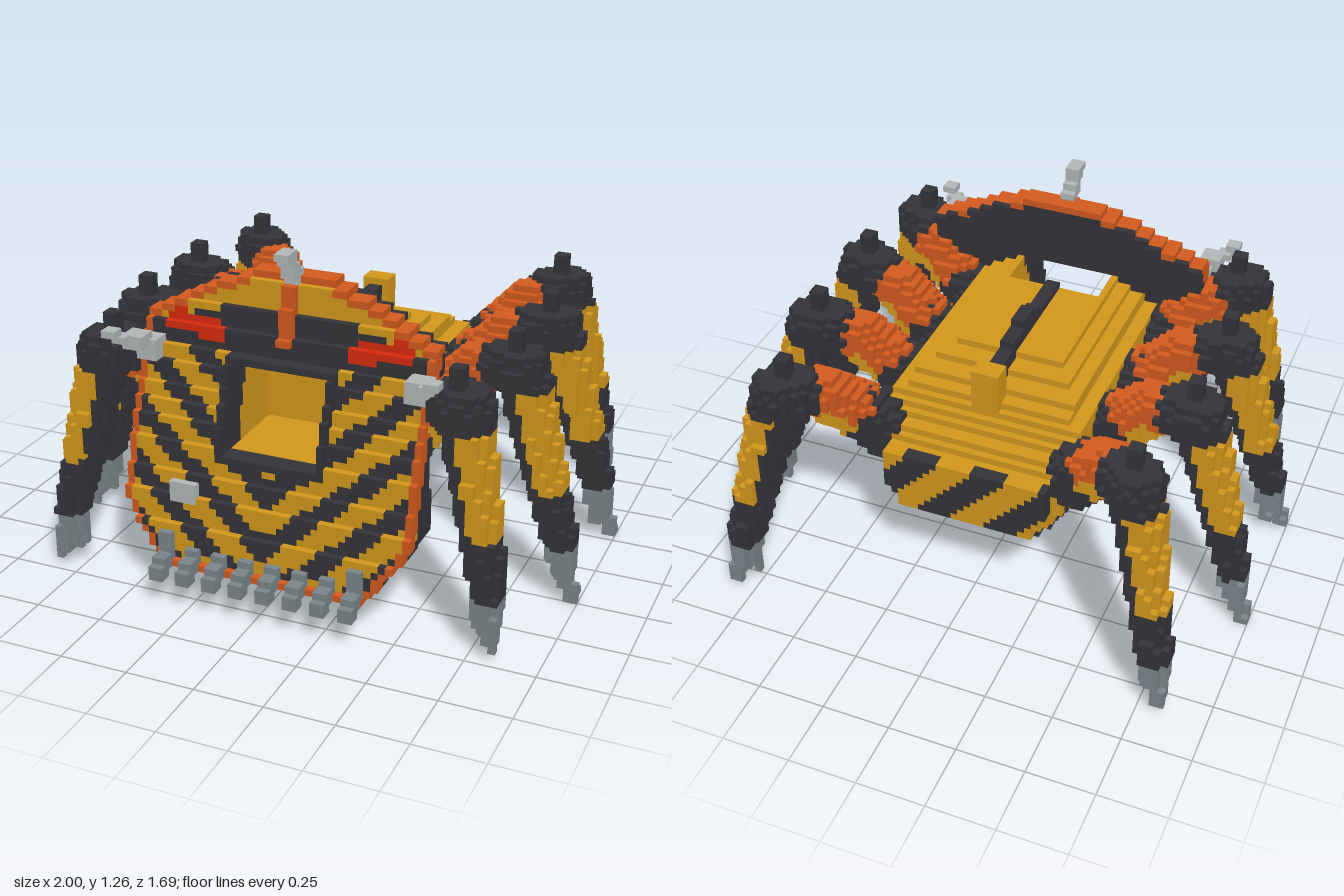
import * as THREE from 'three';

const V = 2 / 78; // edge of one cube
const mat = (name, hex) => {
  const m = new THREE.MeshStandardMaterial({ color: hex });
  m.name = name;
  return m;
};
const YELLOW = mat('yellow', 0xd4991c), DARK = mat('charcoal', 0x353439);
const ORANGE = mat('orange', 0xd45b1f), RED = mat('red', 0xda2b0e);
const SILVER = mat('silver', 0xb4b8b8), STEEL = mat('steel', 0x7b868b);

// Piecewise linear lookup through [input, output] pairs
function lut(pts, v) {
  if (v <= pts[0][0]) return pts[0][1];
  for (let i = 1; i < pts.length; i++) {
    const [a, b] = [pts[i - 1], pts[i]];
    if (v <= b[0]) return a[1] + (b[1] - a[1]) * (v - a[0]) / (b[0] - a[0]);
  }
  return pts[pts.length - 1][1];
}

export function createModel() {
  const cubes = new Map();
  const key = (i, j, k) => ((i + 100) * 200 + j + 100) * 200 + k + 100;

  // Fill a region with cubes; rule gives a material, or nothing to leave it as is
  function fill(part, [x0, x1], [y0, y1], [z0, z1], rule) {
    const lo = (a) => Math.round(a / V), c = (i) => (i + 0.5) * V;
    for (let i = lo(x0); i < lo(x1); i++)
      for (let j = Math.max(0, lo(y0)); j < lo(y1); j++)
        for (let k = lo(z0); k < lo(z1); k++) {
          const m = rule.isMaterial ? rule : rule(c(i), c(j), c(k));
          if (m) cubes.set(key(i, j, k), { p: [i, j, k], m, part });
        }
  }

  // Tapered limb segment from a to b; color may depend on height and offset from the axis
  function limb(part, a, b, r0, r1, color) {
    const A = new THREE.Vector3(...a), D = new THREE.Vector3(...b).sub(A);
    const P = new THREE.Vector3(), r = Math.max(r0, r1) + V;
    const range = (n) => [Math.min(a[n], b[n]) - r, Math.max(a[n], b[n]) + r];
    fill(part, range(0), range(1), range(2), (x, y, z) => {
      P.set(x, y, z).sub(A);
      const t = THREE.MathUtils.clamp(P.dot(D) / D.lengthSq(), 0, 1);
      if (P.addScaledVector(D, -t).length() > r0 + (r1 - r0) * t) return null;
      return color.isMaterial ? color : color(y, P);
    });
  }

  // Eight legs: hip, thigh end, knee, ankle and toe
  const legs = [
    ['frontLeg', [.36, .6, .4], [.56, .79, .48], [.67, .83, .57], [.80, .22, .66], [.83, .05, .70]],
    ['middleFrontLeg', [.36, .6, .1], [.57, .79, .135], [.74, .83, .175], [.92, .22, .22], [.975, .02, .235]],
    ['middleRearLeg', [.36, .6, -.15], [.57, .79, -.2], [.74, .83, -.24], [.92, .22, -.29], [.975, .02, -.305]],
    ['rearLeg', [.36, .6, -.42], [.54, .79, -.56], [.66, .83, -.67], [.79, .22, -.79], [.82, .05, -.825]],
  ];
  for (const [name, ...pts] of legs)
    for (const s of [1, -1]) {
      const part = (s > 0 ? 'left ' : 'right ') + name;
      const [hip, thigh, knee, ankle, toe] = pts.map(([x, y, z]) => [x * s, y, z]);
      const mix = (a, b, t) => a.map((v, i) => v + (b[i] - v) * t);
      limb(part, hip, thigh, .1, .09, (y, off) => (off.y > -.01 ? ORANGE : YELLOW));
      limb(part, hip, mix(hip, thigh, .35), .12, .095, DARK);
      // shin: yellow outside, dark on the inner side and below
      limb(part, knee, ankle, .09, .058, (y, off) => {
        if (y > .905 || y < .195) return null;
        return y > .76 || y < .41 || off.x * s < -.025 ? DARK : YELLOW;
      });
      limb(part, mix(thigh, knee, .6), mix(thigh, knee, .95), .1, .1,
        (y) => (y > .76 && y < .905 ? DARK : null));
      limb(part, mix(thigh, knee, .05), mix(thigh, knee, .15), .08, .08, ORANGE);
      // knee spike
      const k = mix(thigh, knee, .8);
      fill(part, [k[0] - V, k[0] + V], [.88, .97], [k[2] - V, k[2] + V], DARK);
      // claw with a second shorter prong
      limb(part, [ankle[0], .18, ankle[2]], toe, .052, .022, (y) => (y < .21 ? STEEL : null));
      const heel = [toe[0] - .055 * s, .07, toe[2] - .04 * Math.sign(toe[2])];
      limb(part, [ankle[0] - .02 * s, .17, ankle[2]], heel, .035, .018, (y) => (y < .21 ? STEEL : null));
    }

  // Hull: dark belly, stepped roof, open cabin at the front, striped rear
  const hullHalf = [[.34, .28], [.40, .31], [.46, .36]];
  const hullRear = [[.34, -.5], [.38, -.52], [.39, -.58]];
  const roofX = [[.19, .85], [.2, .825], [.25, .82], [.255, .79], [.31, .785], [.315, .74]];
  const roofZ = [[-.53, .62], [-.38, .72], [-.36, .77], [-.24, .8], [-.1, .85]];
  fill('hull', [-.36, .36], [.34, .86], [-.6, .52], (x, y, z) => {
    const ax = Math.abs(x), rear = lut(hullRear, y);
    if (ax > lut(hullHalf, y) - Math.max(0, -z - .42) * .4 || z < rear) return null;
    if (y > Math.min(lut(roofX, ax), lut(roofZ, z))) return null;
    if (ax < .18 && y > .54 && z > .28) return null;
    if (y < .385) return DARK;
    if (z < rear + V * 2) {
      const f = (x + y - .46) / .256;
      return f - Math.floor(f) < .5 ? DARK : YELLOW;
    }
    return y < .46 && z > -.47 ? DARK : YELLOW;
  });
  // dark spine arching along the roof, and the hatch behind it
  fill('roofSpine', [-V, V], [.77, .93], [-.3, .28], (x, y, z) => {
    const top = z > -.08 && z < .03 ? .925 : z > -.17 && z < .08 ? .89 : .875;
    return y < Math.min(top, lut(roofZ, z) + .08) ? DARK : null;
  });
  fill('roofHatch', [-.05, .05], [.7, .9], [-.38, -.3], YELLOW);

  // Front shield: leaning plate with rim, chevrons, brow and eyes
  const half = [[.13, .38], [.34, .54], [.97, .54], [1.03, .39], [1.1, .25], [1.16, .1]];
  const front = [[.13, .76], [.34, .72], [.6, .64], [.87, .53], [1, .48], [1.16, .44]];
  const back = [[.13, .68], [.34, .52], [.6, .53], [.87, .42], [1, .38], [1.16, .345]];
  fill('shield', [-.56, .56], [.13, 1.16], [.3, .8], (x, y, z) => {
    const ax = Math.abs(x), w = lut(half, y), f = lut(front, y);
    if (ax > w || z > f || z < lut(back, y)) return null;
    if (ax < .18 && y > .54 && y < .85) return null;
    const rim = ax > w - V || (y > .95 && ax > lut(half, y + V)) || y < .155 || y > 1.13;
    if (rim && z > f - (y > .9 ? .08 : .055)) return ORANGE;
    if (z < f - V * 2.2) return DARK;
    if (y > .86) {
      if (ax > .24 && ax < .45 && Math.abs(y - .925 - (ax - .25) * .22) < .033) return RED;
      return y < 1.025 - .25 * Math.max(0, ax - .2) ? DARK : YELLOW;
    }
    const c = (y - .8 * ax - .2) / .185;
    return c - Math.floor(c) < .48 ? DARK : YELLOW;
  });
  // window frame standing out of the shield
  fill('windowFrame', [-.21, .21], [.51, .88], [.5, .67], (x, y, z) =>
    (Math.abs(x) > .18 || y < .54 || y > .85) && z < lut(front, y) + .035 ? DARK : null);
  // cabin floor seen through the window
  fill('cabinFloor', [-.18, .18], [.49, .54], [.28, .6], YELLOW);

  // Nose bar and horn
  fill('noseBar', [-V, V], [.92, 1.13], [.4, .6], (x, y, z) =>
    (Math.abs(z - lut(front, y)) < .03 ? ORANGE : null));
  fill('horn', [-V, V], [1.13, 1.26], [.36, .56], (x, y, z) =>
    (Math.abs(z - .425 - (y - 1.13) * .65) < .028 ? SILVER : null));

  // Stepped feelers beside the eyes
  for (const s of [1, -1]) {
    const span = (a, b) => (s > 0 ? [a, b] : [-b, -a]);
    fill('feeler', span(.46, .54), [.83, .9], [.51, .59], SILVER);
    fill('feeler', span(.49, .57), [.87, .92], [.56, .64], SILVER);
    fill('feeler', span(.54, .59), [.9, .93], [.61, .66], SILVER);
    fill('feeler', span(.57, .62), [.92, .95], [.65, .69], SILVER);
  }
  // single lamp low on the right cheek, set flush in the plate
  fill('lamp', [-.36, -.26], [.36, .44], [.64, .72], SILVER);

  // Digging teeth along the lower lip
  for (let n = -3.5; n <= 3.5; n++) {
    const x = [n * 4 * V - V, n * 4 * V + V];
    const outer = Math.abs(n) > 3;
    fill('tooth', x, [.16, outer ? .26 : .2], [.72, .78], STEEL);
    fill('tooth', x, [.13, .19], [.77, .82], STEEL);
    fill('tooth', x, [.10, .155], [.80, .85], STEEL);
  }

  // Turn exposed cube faces into one mesh for each part and colour
  const meshes = new Map();
  for (const { p, m, part } of cubes.values())
    for (let a = 0; a < 3; a++)
      for (const d of [1, -1]) {
        const n = [0, 0, 0];
        n[a] = d;
        if (cubes.has(key(p[0] + n[0], p[1] + n[1], p[2] + n[2]))) continue;
        const id = part + ' ' + m.name;
        if (!meshes.has(id)) meshes.set(id, { m, part, pos: [], nor: [] });
        const out = meshes.get(id);
        const ring = [[0, 0], [1, 0], [1, 1], [0, 1]].map(([u, w]) => {
          const q = [...p];
          if (d > 0) q[a]++;
          q[(a + 1) % 3] += u;
          q[(a + 2) % 3] += w;
          return q.map((v) => v * V);
        });
        if (d < 0) ring.reverse();
        for (const i of [0, 1, 2, 0, 2, 3]) {
          out.pos.push(...ring[i]);
          out.nor.push(...n);
        }
      }

  const model = new THREE.Group();
  model.name = 'spiderDigger';
  const groups = {};
  for (const [id, { m, part, pos, nor }] of meshes) {
    const g = new THREE.BufferGeometry();
    g.setAttribute('position', new THREE.Float32BufferAttribute(pos, 3));
    g.setAttribute('normal', new THREE.Float32BufferAttribute(nor, 3));
    const mesh = new THREE.Mesh(g, m);
    mesh.name = id;
    if (!groups[part]) {
      groups[part] = new THREE.Group();
      groups[part].name = part;
      model.add(groups[part]);
    }
    groups[part].add(mesh);
  }
  return model;
}
